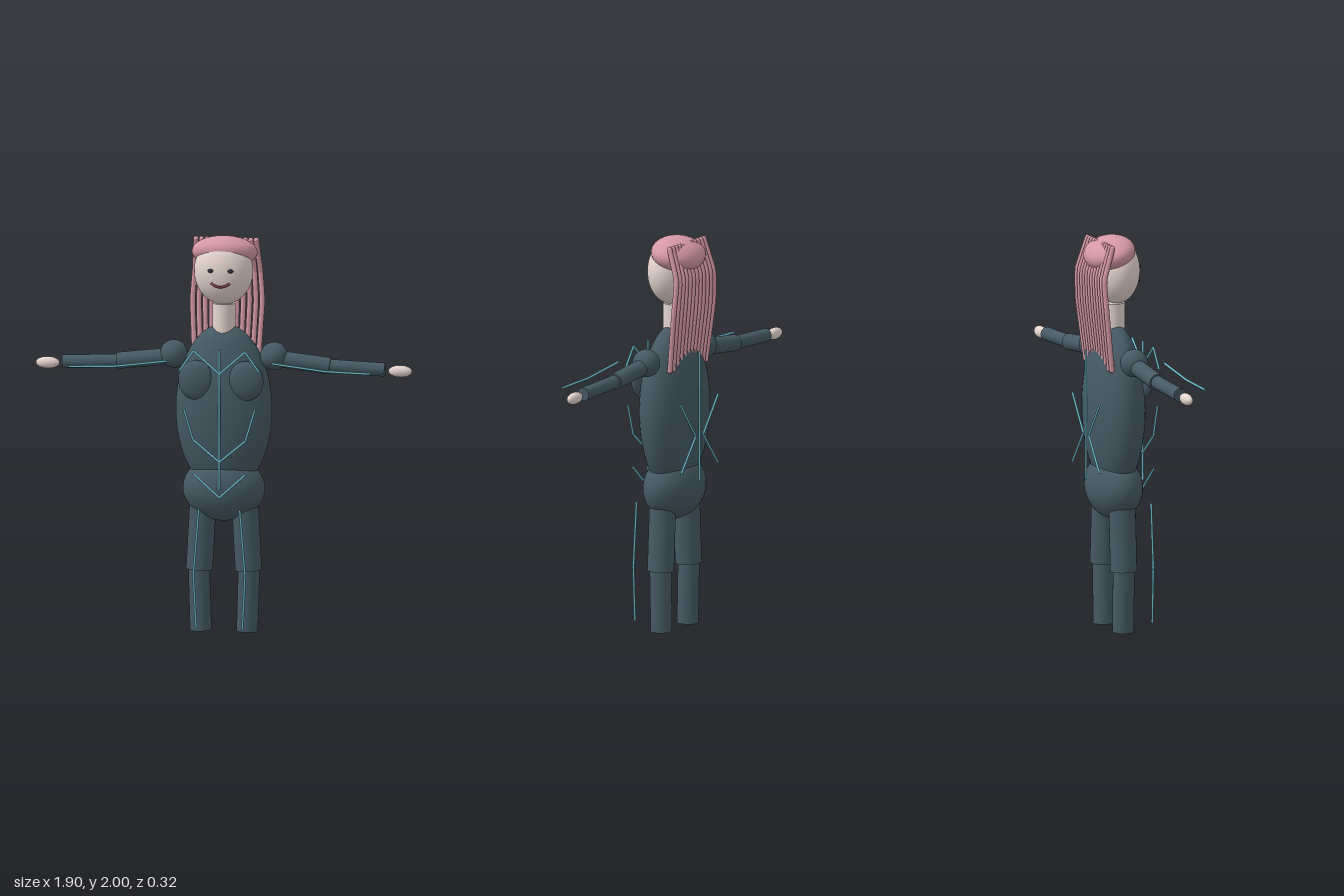
import * as THREE from 'three';

const mat = (name, color) => Object.assign(new THREE.MeshStandardMaterial({ color }), { name });
const V = (x, y, z) => new THREE.Vector3(x, y, z);

export function createModel() {
  const root = new THREE.Group();
  root.name = 'figure';
  const suit = mat('suit slate', 0x465a64);
  const skin = mat('skin', 0xe6d6cf);
  const hair = mat('hair pink', 0xd598a4);
  const trim = mat('trim cyan', 0x6cbccb);
  const dark = mat('eye dark', 0x33343c);
  const lip = mat('lip red', 0x8a444c);
  const Z = -0.005; // depth of the body's middle

  const add = (name, geo, material) => {
    const m = new THREE.Mesh(geo, material);
    m.name = name;
    root.add(m);
    return m;
  };
  const ellipsoid = (name, c, r, material) => {
    const m = add(name, new THREE.SphereGeometry(1, 40, 28), material);
    m.position.set(...c);
    m.scale.set(...r);
    return m;
  };
  // Round bar between two points
  const limb = (name, a, b, r, material, sides = 28) => {
    const d = b.clone().sub(a);
    const m = add(name, new THREE.CylinderGeometry(r, r, d.length(), sides), material);
    m.position.copy(a).add(b).multiplyScalar(0.5);
    m.quaternion.setFromUnitVectors(V(0, 1, 0), d.normalize());
    return m;
  };
  // Thin piping along straight segments on a plane of constant z
  const piping = (name, pts, z) => {
    for (let i = 1; i < pts.length; i++) {
      limb(name, V(...pts[i - 1], z), V(...pts[i], z), 0.006, trim, 8);
    }
  };

  // Body
  ellipsoid('torso', [0, 1.125, Z], [0.243, 0.43, 0.137], suit);
  ellipsoid('hips', [0, 0.725, Z], [0.207, 0.165, 0.132], suit);
  limb('neck', V(0, 1.48, Z), V(0, 1.66, Z), 0.057, skin);

  // Head, hair cap and face
  ellipsoid('head', [0, 1.825, 0.008], [0.148, 0.17, 0.114], skin);
  ellipsoid('hairCap', [0, 1.915, -0.028], [0.165, 0.08, 0.125], hair).rotation.x = -0.3;
  const smile = new THREE.QuadraticBezierCurve3(V(-0.046, 1.777, 0.113), V(0, 1.745, 0.145), V(0.046, 1.777, 0.113));
  add('mouth', new THREE.TubeGeometry(smile, 16, 0.006, 8), lip);

  // Long hair strands, all sharing one profile in depth
  const strands = 12;
  for (let i = 0; i < strands; i++) {
    const x = -0.16 + (0.32 * i) / (strands - 1);
    const path = new THREE.CurvePath();
    const pts = [V(x * 0.95, 1.968, -0.078), V(x * 1.03, 1.81, -0.128), V(x * 1.1, 1.65, -0.12), V(x, 1.35, -0.085)];
    const curve = new THREE.CatmullRomCurve3(pts, false, 'catmullrom', 0.15);
    add('hairStrand', new THREE.TubeGeometry(curve, 20, 0.0135, 10), hair);
    for (const p of [pts[0], pts[3]]) {
      ellipsoid('strandTip', p.toArray(), [0.0135, 0.0135, 0.0135], hair);
    }
  }

  // Mirrored parts
  for (const s of [-1, 1]) {
    ellipsoid('eye', [s * 0.05, 1.84, 0.114], [0.015, 0.01, 0.008], dark);
    ellipsoid('chest', [s * 0.125, 1.284, 0.1], [0.09, 0.1, 0.038], suit);

    ellipsoid('shoulder', [s * 0.253, 1.397, Z], [0.07, 0.07, 0.07], suit);
    limb('upperArm', V(s * 0.25, 1.387, Z), V(s * 0.537, 1.354, Z), 0.042, suit);
    limb('forearm', V(s * 0.53, 1.354, Z), V(s * 0.813, 1.342, Z), 0.034, suit);
    ellipsoid('hand', [s * 0.889, 1.336, Z], [0.06, 0.03, 0.025], skin);

    limb('thigh', V(s * 0.105, 0.66, Z), V(s * 0.124, 0.312, Z), 0.067, suit);
    limb('shin', V(s * 0.126, 0.32, Z), V(s * 0.117, 0.003, Z), 0.054, suit);

    // Piping on the front
    const F = 0.155;
    piping('chestPiping', [[s * 0.2, 1.34], [s * 0.13, 1.44], [0, 1.325]], F);
    piping('waistPiping', [[s * 0.18, 1.15], [s * 0.132, 0.99], [0, 0.88]], F);
    piping('hipPiping', [[s * 0.132, 0.82], [0, 0.7]], F);
    piping('armPiping', [[s * 0.265, 1.385], [s * 0.53, 1.352], [s * 0.76, 1.345]], F);
    piping('legPiping', [[s * 0.103, 0.64], [s * 0.13, 0.31], [s * 0.117, 0.035]], F);
    // Piping on the back
    piping('backPiping', [[s * 0.165, 1.18], [s * 0.033, 1.0], [s * 0.165, 0.83]], -F);
  }
  piping('frontCentrePiping', [[0, 1.45], [0, 0.74]], 0.155);
  piping('backCentrePiping', [[0, 1.43], [0, 0.77]], -0.155);

  return root;
}
